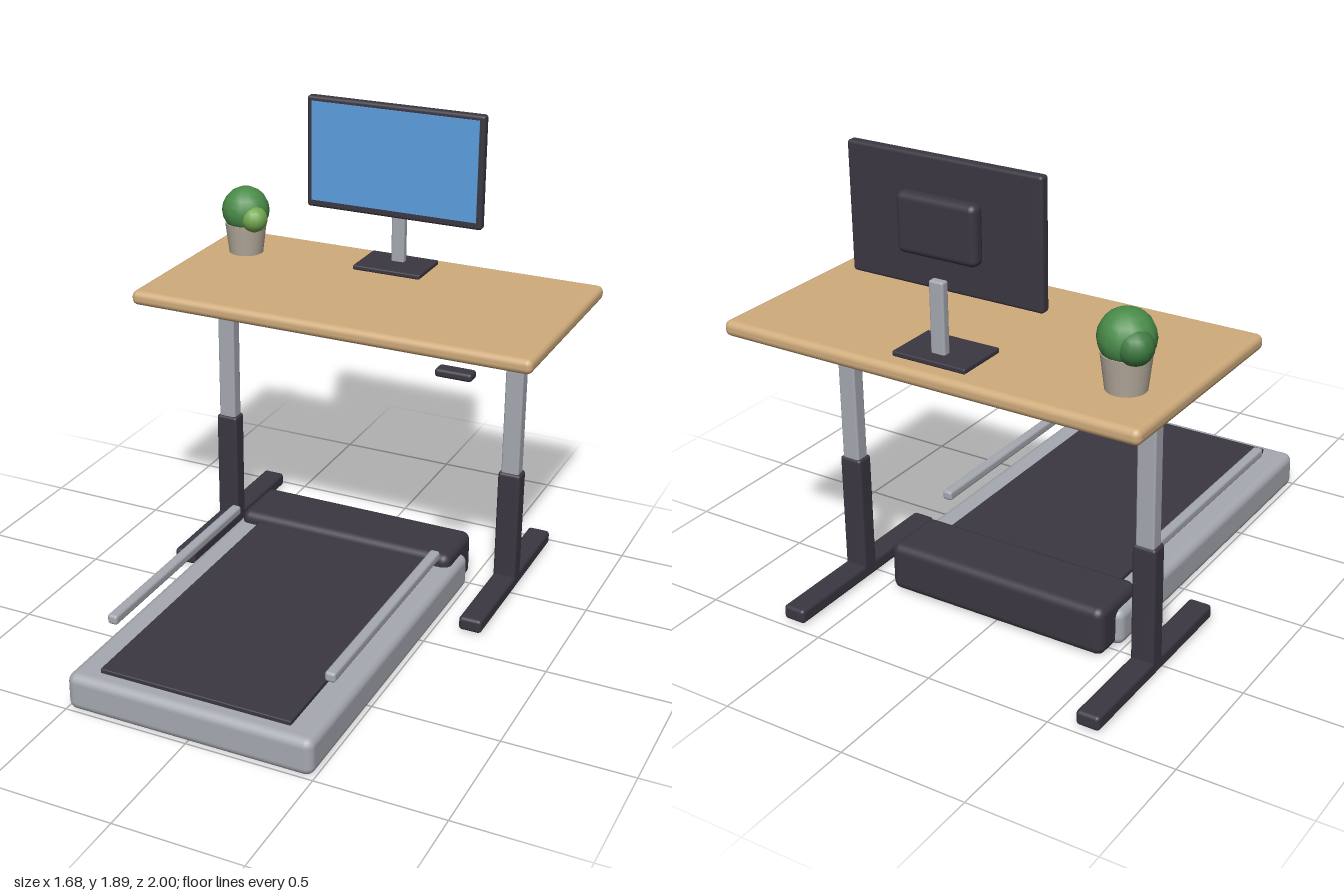
import * as THREE from 'three';
import { RoundedBoxGeometry } from 'three/addons/geometries/RoundedBoxGeometry.js';

const paint = (color) => new THREE.MeshStandardMaterial({ color });
const dark = paint(0x3b3742);
const silver = paint(0xa6a9b1);
const wood = paint(0xcfab7c);
const screenBlue = paint(0x5c9fe0);
const clay = paint(0xb5ab9c);
const soilBrown = paint(0x3a2c22);

export function createModel() {
  const model = new THREE.Group();
  model.name = 'treadmillDesk';

  const add = (parent, name, geometry, material, x = 0, y = 0, z = 0) => {
    const mesh = new THREE.Mesh(geometry, material);
    mesh.name = name;
    mesh.position.set(x, y, z);
    parent.add(mesh);
    return mesh;
  };
  // Rounded box given by its [min, max] range on each axis
  const box = (parent, name, material, [x0, x1], [y0, y1], [z0, z1], radius) =>
    add(parent, name, new RoundedBoxGeometry(x1 - x0, y1 - y0, z1 - z0, 3, radius), material,
      (x0 + x1) / 2, (y0 + y1) / 2, (z0 + z1) / 2);
  const group = (name) => {
    const g = new THREE.Group();
    g.name = name;
    model.add(g);
    return g;
  };
  // Range mirrored to the given side
  const sided = (s, a, b) => (s > 0 ? [a, b] : [-b, -a]);

  // Desk: top, cross beam, telescopic legs, feet and height control
  const desk = group('desk');
  box(desk, 'desktop', wood, [-0.84, 0.84], [1.14, 1.2], [-1, -0.11], 0.025);
  box(desk, 'crossBeam', dark, [-0.65, 0.65], [1.06, 1.117], [-0.592, -0.518], 0.012);
  box(desk, 'heightControl', dark, [0.485, 0.63], [1.095, 1.128], [-0.12, -0.06], 0.012);
  for (const s of [1, -1]) {
    const side = s > 0 ? 'left' : 'right';
    box(desk, side + 'UpperLeg', silver, sided(s, 0.602, 0.676), [0.48, 1.145], [-0.583, -0.527], 0.008);
    box(desk, side + 'LowerLeg', dark, sided(s, 0.592, 0.686), [0.02, 0.523], [-0.59, -0.518], 0.012);
    box(desk, side + 'Foot', dark, sided(s, 0.592, 0.686), [0.005, 0.063], [-0.97, -0.13], 0.015);
  }

  // Treadmill: deck, belt, motor hood and side rails
  const treadmill = group('treadmill');
  box(treadmill, 'deck', silver, [-0.495, 0.495], [0, 0.15], [-0.485, 1], 0.035);
  box(treadmill, 'belt', dark, [-0.385, 0.385], [0.13, 0.167], [-0.42, 0.935], 0.005);
  box(treadmill, 'motorHood', dark, [-0.47, 0.47], [0.003, 0.2], [-0.585, -0.32], 0.035);
  for (const s of [1, -1]) {
    box(treadmill, s > 0 ? 'leftRail' : 'rightRail', silver,
      sided(s, 0.424, 0.466), [0.233, 0.273], [-0.24, 0.75], 0.012);
  }

  // Monitor on its stand
  const monitor = group('monitor');
  box(monitor, 'housing', dark, [-0.383, 0.383], [1.425, 1.89], [-0.823, -0.782], 0.012);
  add(monitor, 'screen', new THREE.BoxGeometry(0.722, 0.415, 0.006), screenBlue, 0, 1.663, -0.782);
  box(monitor, 'rearCover', dark, [-0.158, 0.158], [1.55, 1.765], [-0.875, -0.815], 0.025);
  box(monitor, 'standPost', silver, [-0.029, 0.029], [1.205, 1.48], [-0.878, -0.844], 0.008);
  box(monitor, 'standBase', dark, [-0.148, 0.148], [1.2, 1.22], [-0.935, -0.725], 0.006);

  // Potted plant
  const plant = group('plant');
  plant.position.set(-0.65, 1.2, -0.745);
  add(plant, 'pot', new THREE.CylinderGeometry(0.088, 0.072, 0.13, 20), clay, 0, 0.065, 0);
  add(plant, 'soil', new THREE.CylinderGeometry(0.078, 0.078, 0.006, 20), soilBrown, 0, 0.13, 0);
  const leaves = [
    [0.1, 0x4a8c4a, 0, 0.182, 0],
    [0.065, 0x3d7a40, -0.05, 0.172, -0.035],
    [0.056, 0x74a850, 0.063, 0.163, 0.045],
  ];
  for (const [r, color, x, y, z] of leaves) {
    add(plant, 'foliage', new THREE.SphereGeometry(r, 14, 10), paint(color), x, y, z);
  }

  return model;
}
